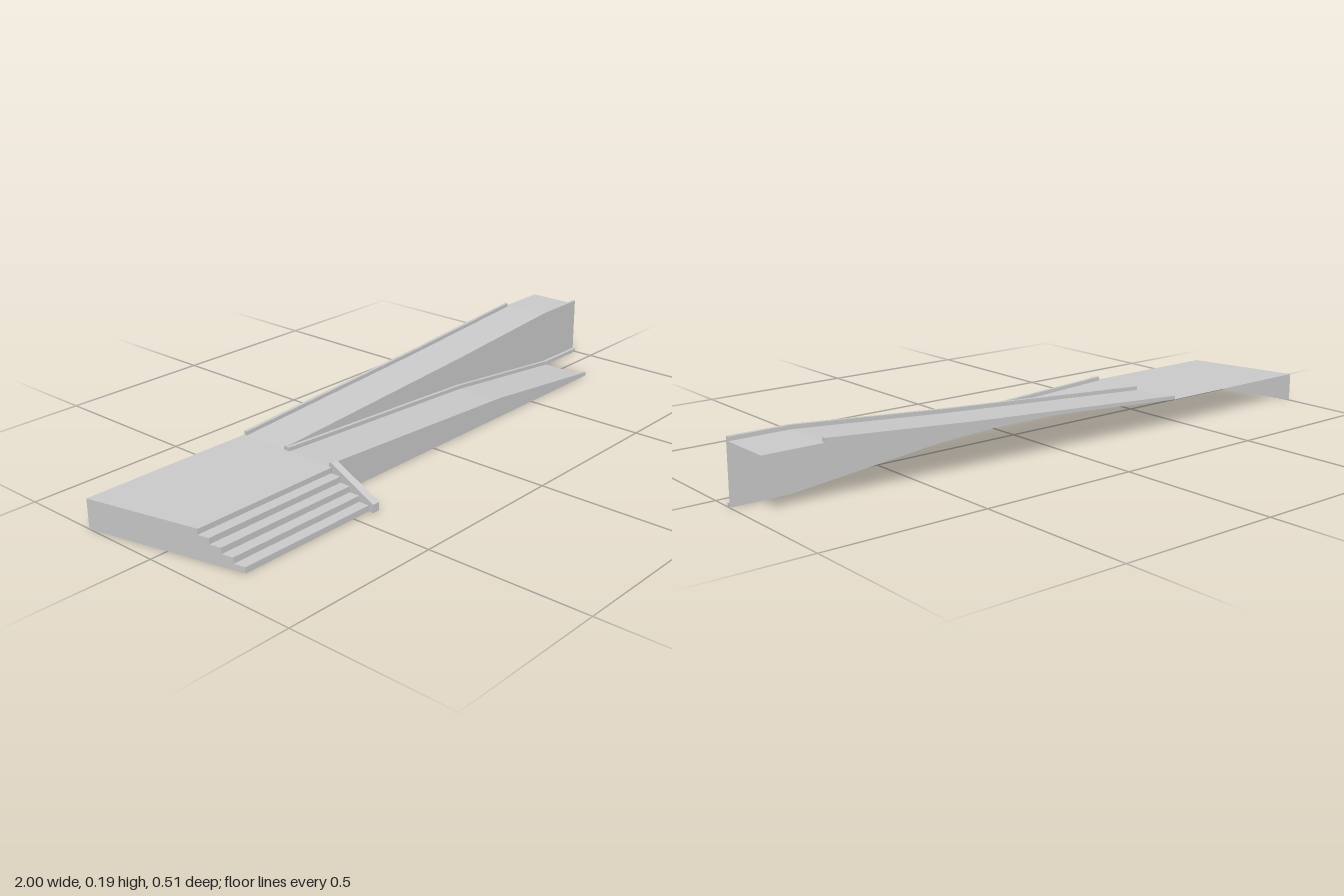
import * as THREE from 'three';

const BACK = -0.253, MID = -0.077, FRONT = 0.1, START = -0.44, DECK = 0.09;
const CURB_H = 0.012, CURB_W = 0.011;
const STEPS = 5, RISE = DECK / STEPS, TREAD = 0.035;

// Ramp profiles as [x, y]
const UPPER = [[START, DECK], [0.33, 0.14], [0.82, 0.178], [1, 0.178]];
const LOWER = [[START, DECK], [0.33, 0.052], [0.82, 0], [1, 0]];

const material = new THREE.MeshStandardMaterial({ color: 0xcccccc, flatShading: true, side: THREE.DoubleSide });

// Slanted end of the landing
const slantX = (z) => -1 + 0.22 * (z - BACK);

// A profile placed at depth z, raised by lift
const rail = (profile, z, lift = 0) => profile.map(([x, y]) => [x, y + lift, z]);

// Thin surface lofted through rows of points
function sheet(name, rows) {
  const n = rows[0].length, index = [];
  for (let r = 0; r < rows.length - 1; r++) {
    for (let i = 0; i < n - 1; i++) {
      const a = r * n + i, b = a + n;
      index.push(a, b, a + 1, a + 1, b, b + 1);
    }
  }
  const indexed = new THREE.BufferGeometry();
  indexed.setAttribute('position', new THREE.Float32BufferAttribute(rows.flat(2), 3));
  indexed.setIndex(index);
  const geometry = indexed.toNonIndexed();
  geometry.computeVertexNormals();
  const mesh = new THREE.Mesh(geometry, material);
  mesh.name = name;
  return mesh;
}

// Raised kerb along a ramp, open below, with a small face at its chosen ends
function curb(name, profile, z0, z1, capEnd) {
  const group = new THREE.Group();
  group.name = name;
  group.add(sheet(name + 'Strip', [
    rail(profile, z0), rail(profile, z0, CURB_H), rail(profile, z1, CURB_H), rail(profile, z1),
  ]));
  const ends = capEnd ? [profile[0], profile[profile.length - 1]] : [profile[0]];
  for (const [x, y] of ends) {
    group.add(sheet(name + 'End', [
      [[x, y + CURB_H, z0], [x, y + CURB_H, z1]],
      [[x, y, z0], [x, y, z1]],
    ]));
  }
  return group;
}

export function createModel() {
  const model = new THREE.Group();
  model.name = 'accessRamp';

  // Landing and the two ramps
  model.add(sheet('landing', [
    [[slantX(BACK), DECK, BACK], [START, DECK, BACK]],
    [[slantX(FRONT), DECK, FRONT], [START, DECK, FRONT]],
  ]));
  const lowerRun = LOWER.slice(0, 3);
  model.add(sheet('upperRamp', [rail(UPPER, BACK), rail(UPPER, MID - CURB_W)]));
  model.add(sheet('lowerRamp', [rail(lowerRun, MID + CURB_W), rail(lowerRun, FRONT)]));

  // Kerbs
  model.add(curb('backCurb', UPPER.slice(0, 3), BACK, BACK + CURB_W, true));
  model.add(curb('upperInnerCurb', UPPER, MID - CURB_W, MID, false));
  model.add(curb('lowerInnerCurb', LOWER, MID, MID + CURB_W, true));
  model.add(curb('frontCurb', lowerRun, FRONT - CURB_W, FRONT, true));

  // Wall between the ramps and wall below the lower ramp
  const xs = LOWER.map(([x]) => x);
  model.add(sheet('middleWall', [rail(UPPER, MID, CURB_H), rail(LOWER, MID)]));
  model.add(sheet('frontWall', [rail(lowerRun, FRONT), xs.slice(0, 3).map((x) => [x, 0, FRONT])]));

  // Steps down to the front
  const stairRows = [];
  for (let i = 0; i < STEPS; i++) {
    const z = FRONT - 0.003 + i * TREAD;
    for (const y of [DECK - i * RISE, DECK - (i + 1) * RISE]) {
      stairRows.push([[slantX(z), y, z], [START, y, z]]);
    }
  }
  model.add(sheet('steps', stairRows));

  // Slanted end wall, following the steps
  const endWall = new THREE.Group();
  endWall.name = 'endWall';
  for (let i = 0; i < STEPS; i++) {
    const z0 = i === 0 ? BACK : FRONT - 0.003 + (i - 1) * TREAD;
    const z1 = FRONT - 0.003 + i * TREAD;
    const y = DECK - i * RISE;
    endWall.add(sheet('endWallPanel', [
      [[slantX(z0), y, z0], [slantX(z1), y, z1]],
      [[slantX(z0), 0, z0], [slantX(z1), 0, z1]],
    ]));
  }
  model.add(endWall);

  // Sloping cheek wall beside the steps
  const side = new THREE.Shape();
  side.moveTo(-FRONT, 0);
  side.lineTo(-FRONT, DECK + CURB_H);
  side.lineTo(BACK, 0.025);
  side.lineTo(BACK, 0);
  const cheek = new THREE.Mesh(
    new THREE.ExtrudeGeometry(side, { depth: 0.024, bevelEnabled: false }), material);
  cheek.rotation.y = Math.PI / 2;
  cheek.position.x = START;
  cheek.name = 'cheekWall';
  model.add(cheek);

  return model;
}
